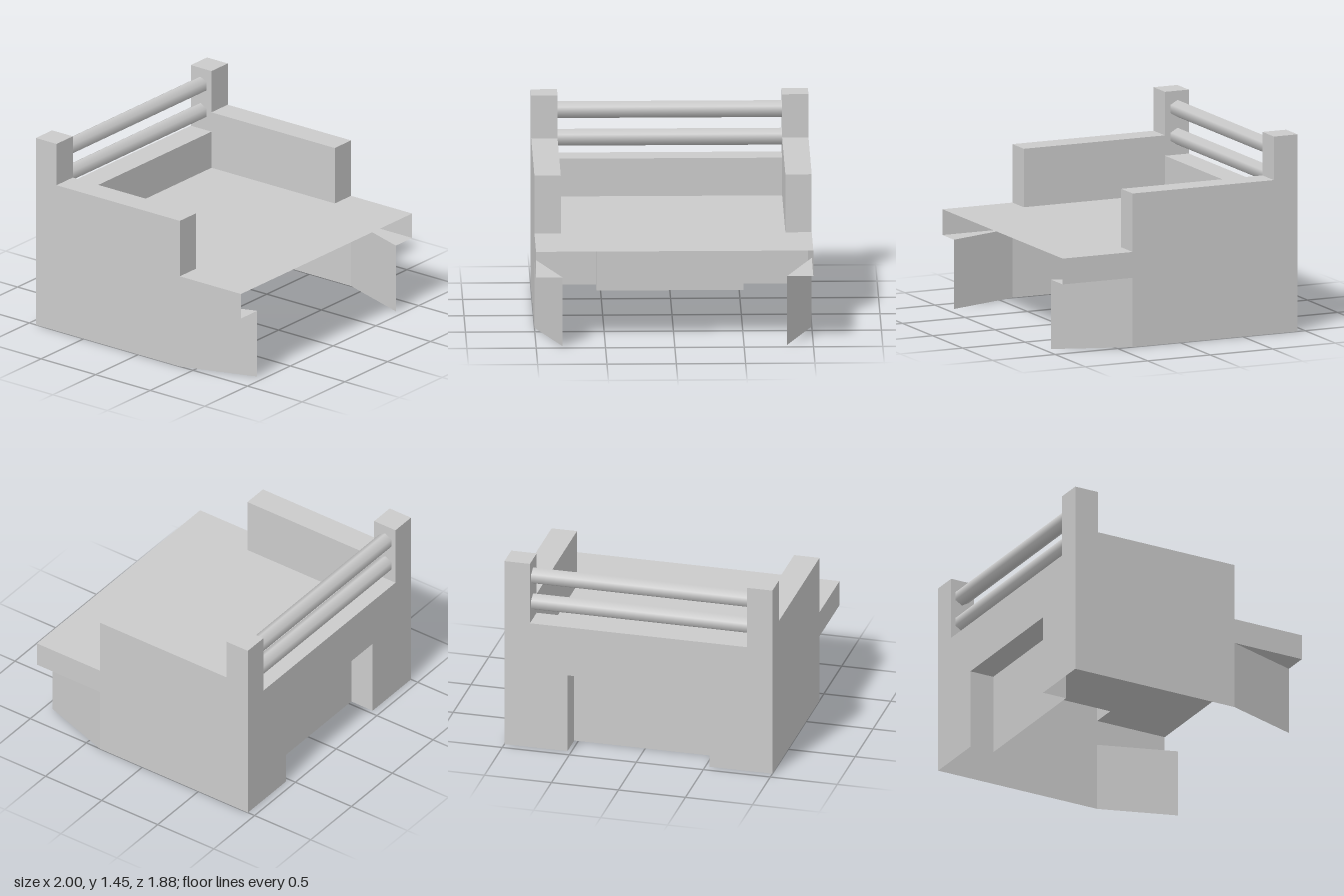
import * as THREE from 'three';

// Main dimensions
const W = 1, IN = 0.81;                      // outer and inner half widths
const BACK = -0.94, SILL = -0.75, ARM = 0.38, FRONT = 0.94; // z stations
const LEDGE = 0.51, DECK = 0.7, RAIL = 0.98, WALL = 1.13, POST = 1.45; // heights
const REC = 0.53, RECTOP = 0.6;              // rear recess

export function createModel() {
  const model = new THREE.Group();
  model.name = 'platform';
  const sheetMat = new THREE.MeshStandardMaterial({ color: 0xcccccc, side: THREE.DoubleSide, flatShading: true });
  const rodMat = new THREE.MeshStandardMaterial({ color: 0xcccccc });

  const add = (name, geometry, material = sheetMat, parent = model) => {
    const mesh = new THREE.Mesh(geometry, material);
    mesh.name = name;
    parent.add(mesh);
    return mesh;
  };

  // Flat convex sheet from corners, counter-clockwise seen from its front; s = -1 mirrors it in x
  const sheet = (name, corners, parent = model, s = 1) => {
    const pts = corners.map(([x, y, z]) => [x * s, y, z]);
    if (s < 0) pts.reverse();
    const g = new THREE.BufferGeometry();
    g.setAttribute('position', new THREE.Float32BufferAttribute(pts.flat(), 3));
    g.setIndex(pts.length === 3 ? [0, 1, 2] : [0, 1, 2, 0, 2, 3]);
    g.computeVertexNormals();
    return add(name, g, sheetMat, parent);
  };
  const outline = (pts) => new THREE.ShapeGeometry(new THREE.Shape(pts.map((p) => new THREE.Vector2(...p))));

  // Deck: thin sheet, wide at the front and narrow between the side walls
  const deckPts = [[-W, FRONT], [W, FRONT], [W, ARM], [IN, ARM], [IN, SILL], [-IN, SILL], [-IN, ARM], [-W, ARM]];
  add('deck', outline(deckPts.map(([x, z]) => [x, -z])).rotateX(-Math.PI / 2)).position.y = DECK;

  // Back wall with the corner posts and the opening of the recess
  const half = [[REC, 0], [W, 0], [W, POST], [IN, POST], [IN, RAIL]];
  const mirrored = half.map(([x, y]) => [-x, y]).reverse();
  const backPts = [[REC, RECTOP], ...half, ...mirrored, [-REC, RECTOP]];
  add('backWall', outline(backPts).rotateY(Math.PI)).position.z = BACK;

  // Sill between the posts
  sheet('sillTop', [[-IN, RAIL, SILL], [IN, RAIL, SILL], [IN, RAIL, BACK], [-IN, RAIL, BACK]]);
  sheet('sillFront', [[-IN, DECK, SILL], [IN, DECK, SILL], [IN, RAIL, SILL], [-IN, RAIL, SILL]]);

  // Recess in the back wall
  sheet('recessBack', [[REC, 0, SILL], [-REC, 0, SILL], [-REC, RECTOP, SILL], [REC, RECTOP, SILL]]);
  sheet('recessTop', [[-REC, RECTOP, BACK], [REC, RECTOP, BACK], [REC, RECTOP, SILL], [-REC, RECTOP, SILL]]);

  for (const s of [1, -1]) {
    const side = new THREE.Group();
    side.name = s > 0 ? 'leftSide' : 'rightSide';
    model.add(side);
    const part = (name, corners) => sheet(name, corners, side, s);

    // Outer wall with the post at the back and the deck edge at the front
    const profile = [[BACK, 0], [ARM, 0], [ARM, LEDGE], [FRONT, LEDGE], [FRONT, DECK], [ARM, DECK],
      [ARM, WALL], [SILL, WALL], [SILL, POST], [BACK, POST]];
    const outer = outline(profile.map(([z, y]) => [-s * z, y])).rotateY(s * Math.PI / 2);
    add('outerWall', outer, sheetMat, side).position.x = s * W;

    // Hollow side wall above the deck
    part('innerWall', [[IN, DECK, SILL], [IN, DECK, ARM], [IN, WALL, ARM], [IN, WALL, SILL]]);
    part('wallTop', [[IN, WALL, ARM], [W, WALL, ARM], [W, WALL, SILL], [IN, WALL, SILL]]);
    part('wallEnd', [[IN, DECK, ARM], [W, DECK, ARM], [W, WALL, ARM], [IN, WALL, ARM]]);

    // Corner post
    part('postInner', [[IN, RAIL, BACK], [IN, RAIL, SILL], [IN, POST, SILL], [IN, POST, BACK]]);
    part('postFront', [[IN, WALL, SILL], [W, WALL, SILL], [W, POST, SILL], [IN, POST, SILL]]);
    part('postTop', [[IN, POST, SILL], [W, POST, SILL], [W, POST, BACK], [IN, POST, BACK]]);

    // Slanted front panel and the small ledge above it
    part('slantedPanel', [[IN, 0, FRONT], [W, 0, ARM], [W, LEDGE, ARM], [IN, LEDGE, FRONT]]);
    part('cornerLedge', [[IN, LEDGE, FRONT], [W, LEDGE, ARM], [W, LEDGE, FRONT]]);

    // Recess cheek
    part('recessSide', [[REC, 0, SILL], [REC, 0, BACK], [REC, RECTOP, BACK], [REC, RECTOP, SILL]]);
  }

  // Two six-sided rods between the posts
  for (const y of [1.115, 1.32]) {
    const rod = new THREE.CylinderGeometry(0.0625, 0.0625, 2 * IN, 6, 1, false, Math.PI / 2).rotateZ(Math.PI / 2);
    add('rod', rod, rodMat).position.set(0, y, -0.85);
  }
  return model;
}
